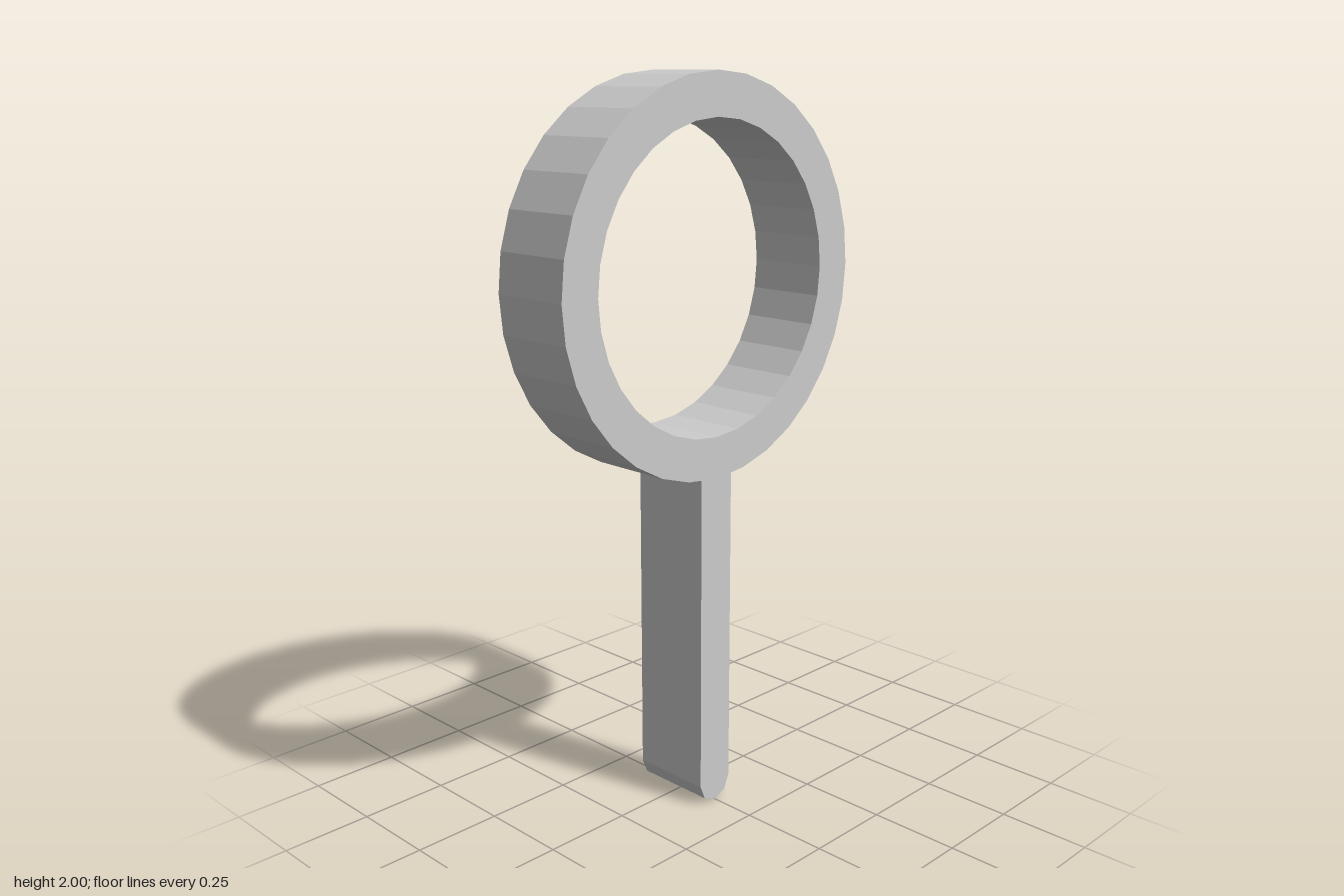
import * as THREE from 'three';

const DEPTH = 0.234;
const CENTER_Y = 1.473, OUTER = 0.527, INNER = 0.413, SIDES = 32;
const HALF = 0.057; // half width of the handle

// Points on a circular arc
function arc(cx, cy, r, start, end, steps) {
  return Array.from({ length: steps + 1 }, (_, i) => {
    const a = start + ((end - start) * i) / steps;
    return new THREE.Vector2(cx + r * Math.cos(a), cy + r * Math.sin(a));
  });
}

// Extrude a flat outline, centred on z = 0
function slab(name, shape, material) {
  const geometry = new THREE.ExtrudeGeometry(shape, { depth: DEPTH, bevelEnabled: false, steps: 1 });
  geometry.translate(0, 0, -DEPTH / 2);
  const mesh = new THREE.Mesh(geometry, material);
  mesh.name = name;
  return mesh;
}

export function createModel() {
  const group = new THREE.Group();
  group.name = 'ringOnHandle';
  const grey = new THREE.MeshStandardMaterial({ color: 0xcccccc, flatShading: true });
  grey.name = 'light grey';

  // Faceted open ring
  const circle = (r) => arc(0, CENTER_Y, r, 0, Math.PI * 2, SIDES).slice(0, -1);
  const ring = new THREE.Shape(circle(OUTER));
  ring.holes.push(new THREE.Path(circle(INNER).reverse()));
  group.add(slab('ring', ring, grey));

  // Handle with a rounded foot; its top meets the lowest ring facets
  const ringBottom = CENTER_Y - OUTER;
  const shoulder = ringBottom + HALF * Math.tan(Math.PI / SIDES);
  const handle = new THREE.Shape([
    ...arc(0, HALF, HALF, Math.PI, Math.PI * 2, 4),
    new THREE.Vector2(HALF, shoulder),
    new THREE.Vector2(0, ringBottom),
    new THREE.Vector2(-HALF, shoulder),
  ]);
  group.add(slab('handle', handle, grey));

  return group;
}
